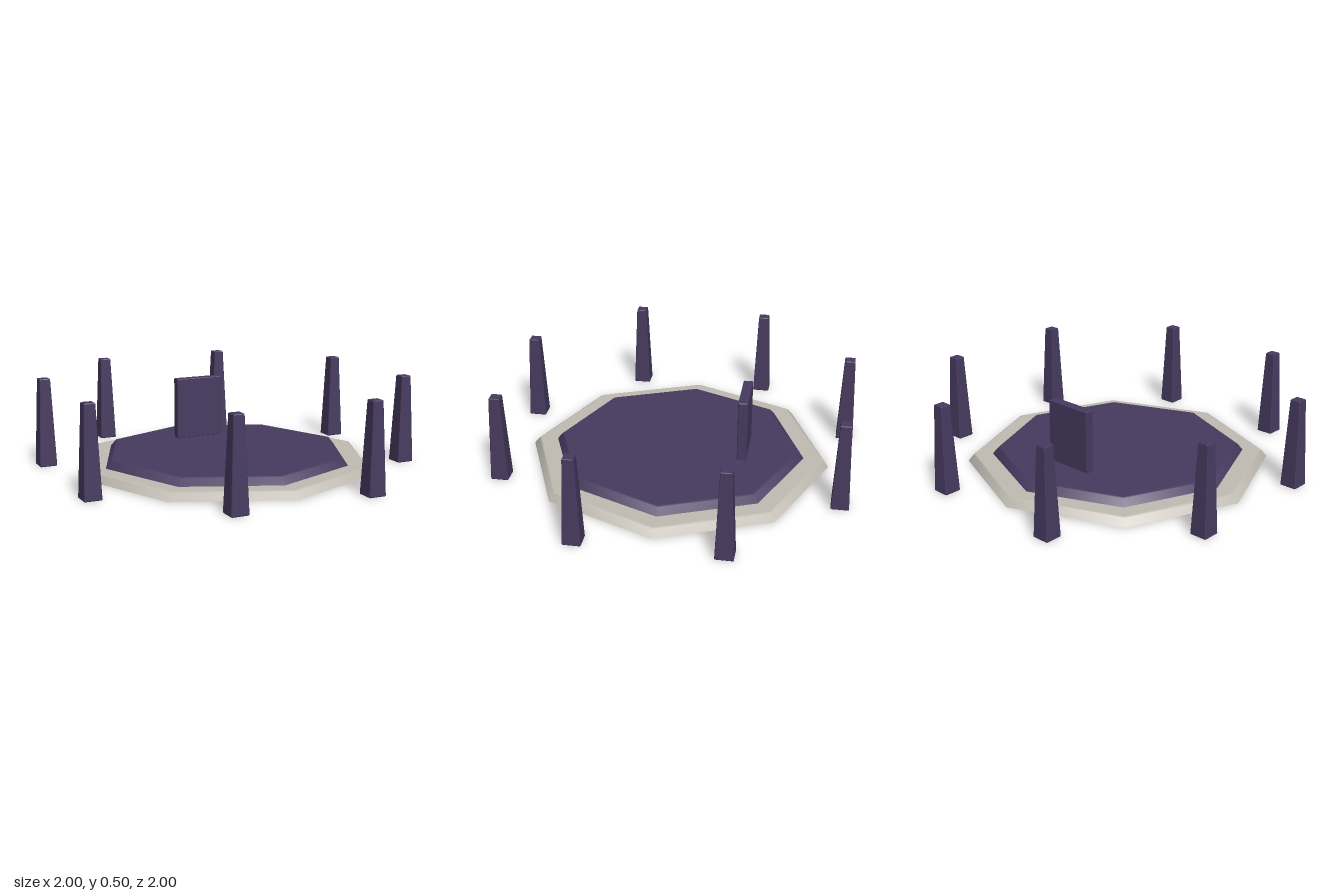
import * as THREE from 'three';
import { ConvexGeometry } from 'three/addons/geometries/ConvexGeometry.js';

// Box standing on y = 0 with small chamfers, narrowing upwards to the given taper
function chamferedBox(w, h, d, bevel, taper = 1) {
  const points = [];
  for (const sx of [-1, 1]) for (const sy of [-1, 1]) for (const sz of [-1, 1]) {
    for (const axis of [0, 1, 2]) {
      const inset = [bevel, bevel, bevel];
      inset[axis] = 0;
      const y = h / 2 + sy * (h / 2 - inset[1]);
      const s = 1 + (taper - 1) * (y / h);
      points.push(new THREE.Vector3(
        sx * (w / 2 - inset[0]) * s, y, sz * (d / 2 - inset[2]) * s));
    }
  }
  return new ConvexGeometry(points);
}

// Octagonal tier with smooth sloping sides and a softened rim, corners on the axes
function tier(bottom, top, height) {
  const profile = [
    [bottom, 0], [top + 0.004, height - 0.005],
    [top - 0.004, height], [top - 0.012, height], [0, height],
  ].map(([r, y]) => new THREE.Vector2(r, y));
  return new THREE.LatheGeometry(profile, 8);
}

export function createModel() {
  const group = new THREE.Group();
  group.name = 'ritualArena';

  const stone = new THREE.MeshStandardMaterial({ color: 0xc1bdb4 });
  stone.name = 'pale stone';
  const darkStone = new THREE.MeshStandardMaterial({ color: 0x757167 });
  darkStone.name = 'dark stone';
  const purple = new THREE.MeshStandardMaterial({ color: 0x473b60 });
  purple.name = 'dark purple';

  function add(name, geometry, material, x, y, z) {
    const mesh = new THREE.Mesh(geometry, material);
    mesh.name = name;
    mesh.position.set(x, y, z);
    group.add(mesh);
  }

  // Two stacked tiers and the underside
  add('stoneBase', tier(0.87, 0.835, 0.043), stone, 0, 0, 0);
  add('platform', tier(0.727, 0.692, 0.042), purple, 0, 0.043, 0);
  add('underside', new THREE.CircleGeometry(0.87, 8).rotateX(Math.PI / 2), darkStone, 0, 0, 0);

  // Upright slab towards the back of the platform
  add('slab', chamferedBox(0.288, 0.36, 0.054, 0.004), purple, 0, 0.083, -0.382);

  // Ring of eight tapered pillars, all square to the axes
  const pillar = chamferedBox(0.1, 0.503, 0.1, 0.004, 0.6);
  for (let i = 0; i < 8; i++) {
    const a = (i + 0.5) * Math.PI / 4;
    add('pillar' + (i + 1), pillar, purple, Math.sin(a) * 1.028, 0, Math.cos(a) * 1.028);
  }

  return group;
}
